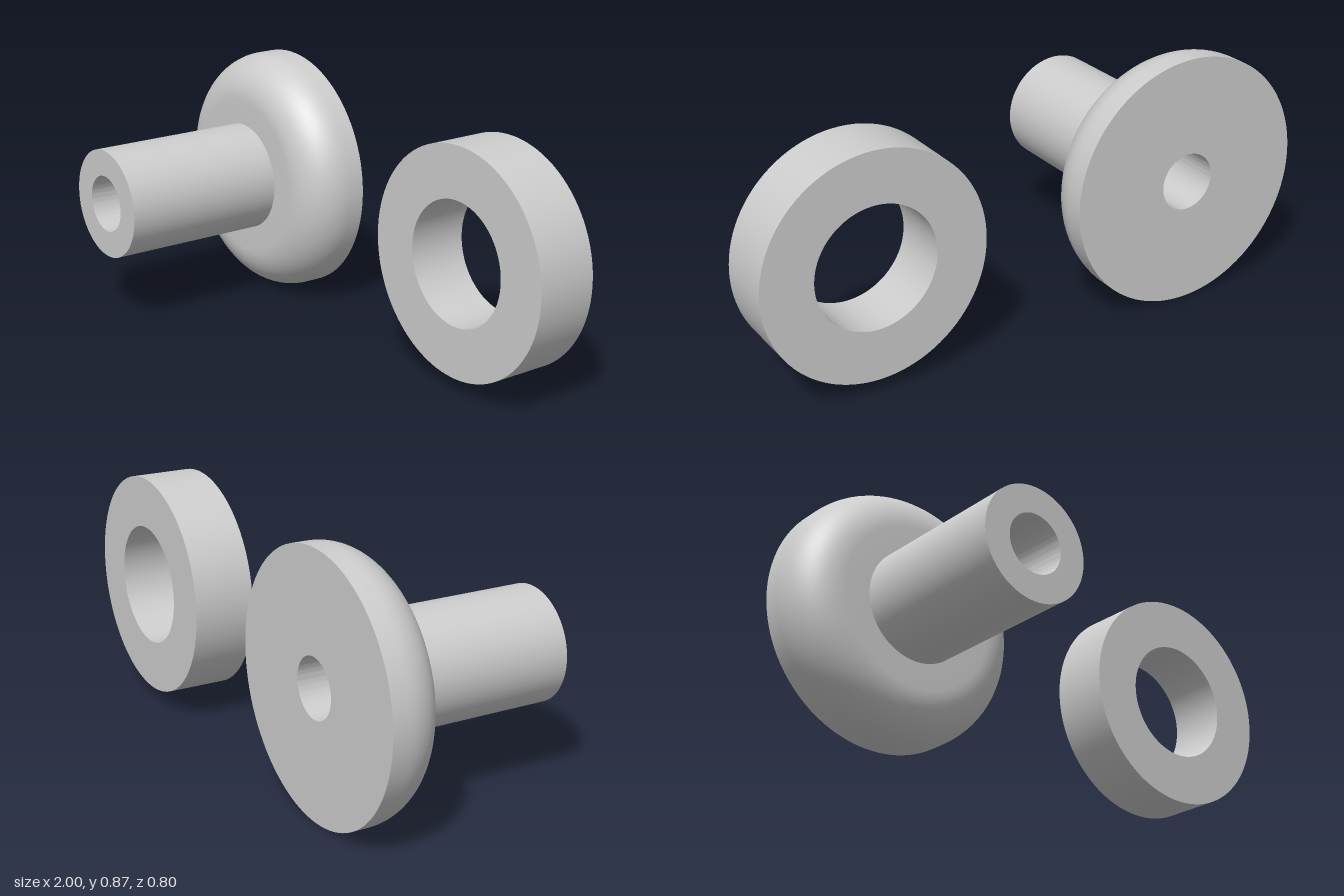
import * as THREE from 'three';
import { toCreasedNormals } from 'three/addons/utils/BufferGeometryUtils.js';

const BACK = -0.398, FACE = -0.185, TIP = 0.398, CENTRE_Y = 0.437;

// Spins a closed [radius, z] profile around the z axis
function turned(name, profile, x, material) {
  const points = [...profile, profile[0]].map(([r, z]) => new THREE.Vector2(r, z));
  const geometry = new THREE.LatheGeometry(points, 96).rotateX(Math.PI / 2);
  const mesh = new THREE.Mesh(toCreasedNormals(geometry, 0.5), material);
  mesh.name = name;
  mesh.position.set(x, CENTRE_Y, 0);
  return mesh;
}

export function createModel() {
  const group = new THREE.Group();
  group.name = 'flangedBushingAndWasher';
  const grey = new THREE.MeshStandardMaterial({ color: 0xcccccc });
  grey.name = 'light grey';

  // Bushing: bored stem on a flange with a rounded front edge
  const flangeR = 0.437, fillet = 0.155, stemR = 0.193, boreR = 0.1;
  const profile = [[boreR, BACK], [flangeR, BACK]];
  for (let i = 0; i <= 16; i++) {
    const a = (i / 16) * Math.PI / 2;
    profile.push([flangeR - fillet + fillet * Math.cos(a), FACE - fillet + fillet * Math.sin(a)]);
  }
  profile.push([stemR, FACE], [stemR, TIP], [boreR, TIP]);
  group.add(turned('flangedBushing', profile, -0.563, grey));

  // Separate flat ring
  const outer = 0.387, inner = 0.21;
  const ring = [[inner, BACK], [outer, BACK], [outer, FACE], [inner, FACE]];
  group.add(turned('washerRing', ring, 0.613, grey));

  return group;
}
